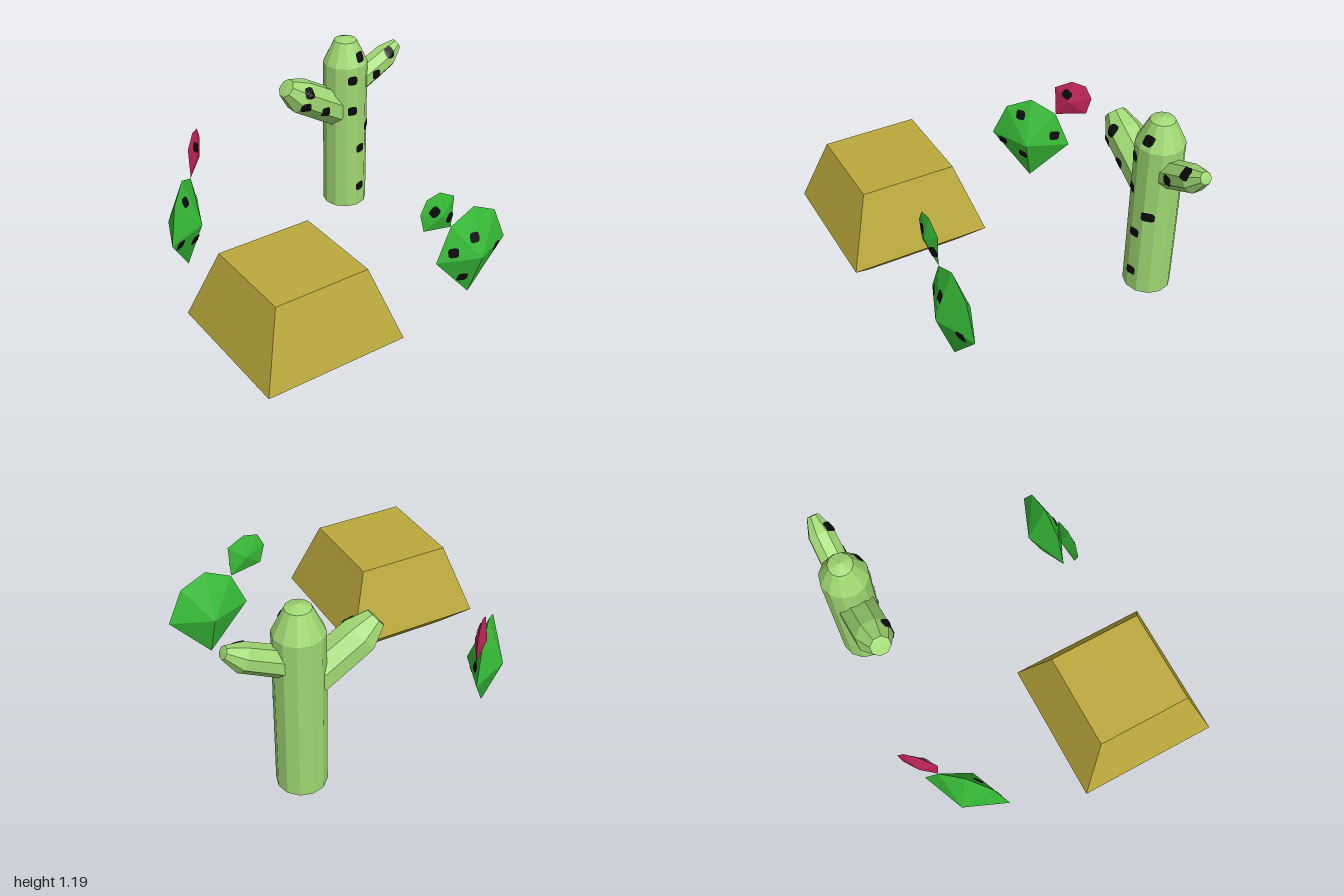
import * as THREE from 'three';

function material(name, color) {
  const m = new THREE.MeshStandardMaterial({ color, flatShading: true });
  m.name = name;
  return m;
}

// Faceted body swept through rings [x, y, radius, axis angle in degrees], listed base to tip
function sweptBody(name, mat, sides, turn, rings) {
  const last = rings.length - 1;
  const geo = new THREE.CylinderGeometry(1, 1, 1, sides, last, true, turn);
  const pos = geo.attributes.position;
  for (let i = 0; i < pos.count; i++) {
    const [x, y, r, deg] = rings[Math.round((pos.getY(i) + 0.5) * last)];
    const a = THREE.MathUtils.degToRad(deg);
    const across = pos.getX(i) * r;
    pos.setXYZ(i, x + Math.sin(a) * across, y - Math.cos(a) * across, pos.getZ(i) * r);
  }
  const flat = geo.toNonIndexed();
  flat.computeVertexNormals();
  flat.computeBoundingSphere();
  const mesh = new THREE.Mesh(flat, mat);
  mesh.name = name;
  return mesh;
}

// Flat gem-shaped pad: six-sided outline fanned to a front and a back point
function gemPad(name, mat, scale, depth) {
  const outline = [[0, 0.3], [-0.165, 0.22], [-0.26, 0], [0, -0.3], [0.26, 0], [0.165, 0.22]];
  const verts = [];
  outline.forEach(([x, y], i) => {
    const [u, v] = outline[(i + 1) % outline.length];
    verts.push(0, 0, depth, x * scale, y * scale, 0, u * scale, v * scale, 0);
    verts.push(0, 0, -depth, u * scale, v * scale, 0, x * scale, y * scale, 0);
  });
  const geo = new THREE.BufferGeometry();
  geo.setAttribute('position', new THREE.Float32BufferAttribute(verts, 3));
  geo.computeVertexNormals();
  const mesh = new THREE.Mesh(geo, mat);
  mesh.name = name;
  return mesh;
}

// Rounded square patches laid over the front surface of a body
function addSpots(body, mat, size, centres) {
  const ray = new THREE.Raycaster();
  const down = new THREE.Vector3(0, 0, -1);
  const target = new THREE.Mesh(body.geometry, body.material);
  const hit = (x, y) => {
    ray.set(new THREE.Vector3(x, y, 3), down);
    return ray.intersectObject(target)[0];
  };
  for (const [cx, cy] of centres) {
    const geo = new THREE.PlaneGeometry(size, size, 6, 6);
    const pos = geo.attributes.position;
    const centre = hit(cx, cy);
    if (!centre) continue;
    for (let i = 0; i < pos.count; i++) {
      let x = pos.getX(i), y = pos.getY(i);
      const reach = Math.hypot(x, y) / (size * 0.58);
      if (reach > 1) { x /= reach; y /= reach; }
      // Pull points that overhang the edge back towards the centre
      let h = hit(cx + x, cy + y);
      for (let k = 0.9; !h && k > 0; k -= 0.1) h = hit(cx + x * k, cy + y * k);
      h = h || centre;
      const p = h.point.clone().addScaledVector(h.face.normal, 0.005);
      pos.setXYZ(i, p.x, p.y, p.z);
    }
    geo.computeVertexNormals();
    const spot = new THREE.Mesh(geo, mat);
    spot.name = 'spot';
    body.add(spot);
  }
}

export function createModel() {
  const model = new THREE.Group();
  model.name = 'desertPlants';
  const sand = material('sandstone', 0xbcaa3c);
  const pale = material('paleGreen', 0xa0d873);
  const green = material('leafGreen', 0x38bd38);
  const red = material('crimson', 0xc2265a);
  const black = material('black', 0x0a0a0a);
  black.side = THREE.DoubleSide;

  // Rock: square block, widest near the ground
  const q = Math.SQRT2;
  const rock = sweptBody('rock', sand, 4, Math.PI / 4, [
    [0, 0.015, 0, 90], [0, 0.015, 0.287 * q, 90], [0, 0.16, 0.43 * q, 90],
    [0, 0.59, 0.287 * q, 90], [0, 0.59, 0, 90],
  ]);
  rock.position.set(-0.57, 0, 0.443);
  model.add(rock);

  // Tall cactus with two arms
  const cactus = new THREE.Group();
  cactus.name = 'tallCactus';
  cactus.position.z = -0.703;
  const trunk = sweptBody('trunk', pale, 12, 0, [
    [0.577, 0.015, 0, 90], [0.577, 0.015, 0.142, 90], [0.577, 1.02, 0.142, 90],
    [0.577, 1.165, 0.072, 90], [0.577, 1.19, 0, 90],
  ]);
  addSpots(trunk, black, 0.06, [
    [0.61, 1.075], [0.54, 0.94], [0.54, 0.727], [0.665, 0.585], [0.6, 0.443], [0.6, 0.155],
  ]);
  const rightArm = sweptBody('rightArm', pale, 8, Math.PI / 8, [
    [0.5, 0.71, 0, 149], [0.5, 0.71, 0.115, 149], [0.228, 0.872, 0.113, 143],
    [0.131, 0.949, 0.062, 141], [0.128, 0.952, 0, 141],
  ]);
  addSpots(rightArm, black, 0.06, [[0.215, 0.83], [0.355, 0.765], [0.245, 0.915]]);
  const leftArm = sweptBody('leftArm', pale, 8, Math.PI / 8, [
    [0.62, 0.835, 0, 29], [0.62, 0.835, 0.086, 29], [0.895, 0.972, 0.08, 29],
    [0.983, 1.033, 0.037, 28], [0.986, 1.035, 0, 28],
  ]);
  addSpots(leftArm, black, 0.06, [[0.767, 0.904], [0.885, 1.015]]);
  cactus.add(trunk, rightArm, leftArm);
  model.add(cactus);

  // Pad cacti: a large pad with a small one balanced on its shoulder
  function padCactus(name, side, budMat, padSpots, budSpots) {
    const group = new THREE.Group();
    group.name = name;
    const pad = gemPad('largePad', green, 1, 0.107);
    pad.position.y = 0.302;
    addSpots(pad, black, 0.06, padSpots);
    const bud = gemPad('smallPad', budMat, 0.51, 0.034);
    bud.position.set(side * 0.26, 0.645, 0);
    bud.rotation.z = -side * 0.66;
    addSpots(bud, black, 0.06, budSpots);
    group.add(pad, bud);
    model.add(group);
    return group;
  }
  const front = padCactus('frontPadCactus', -1, green,
    [[-0.16, 0.055], [-0.03, 0.128], [0.163, -0.015], [-0.073, -0.15]],
    [[-0.015, 0.062], [0.028, -0.073]]);
  front.position.set(0.57, 0, 0.588);

  const back = padCactus('backPadCactus', 1, red,
    [[-0.06, 0.19], [0.167, 0.07], [-0.18, -0.035], [-0.03, -0.09]],
    [[-0.05, 0.03]]);
  back.position.set(-0.672, 0, -0.61);
  back.rotation.y = Math.PI / 4;

  return model;
}
